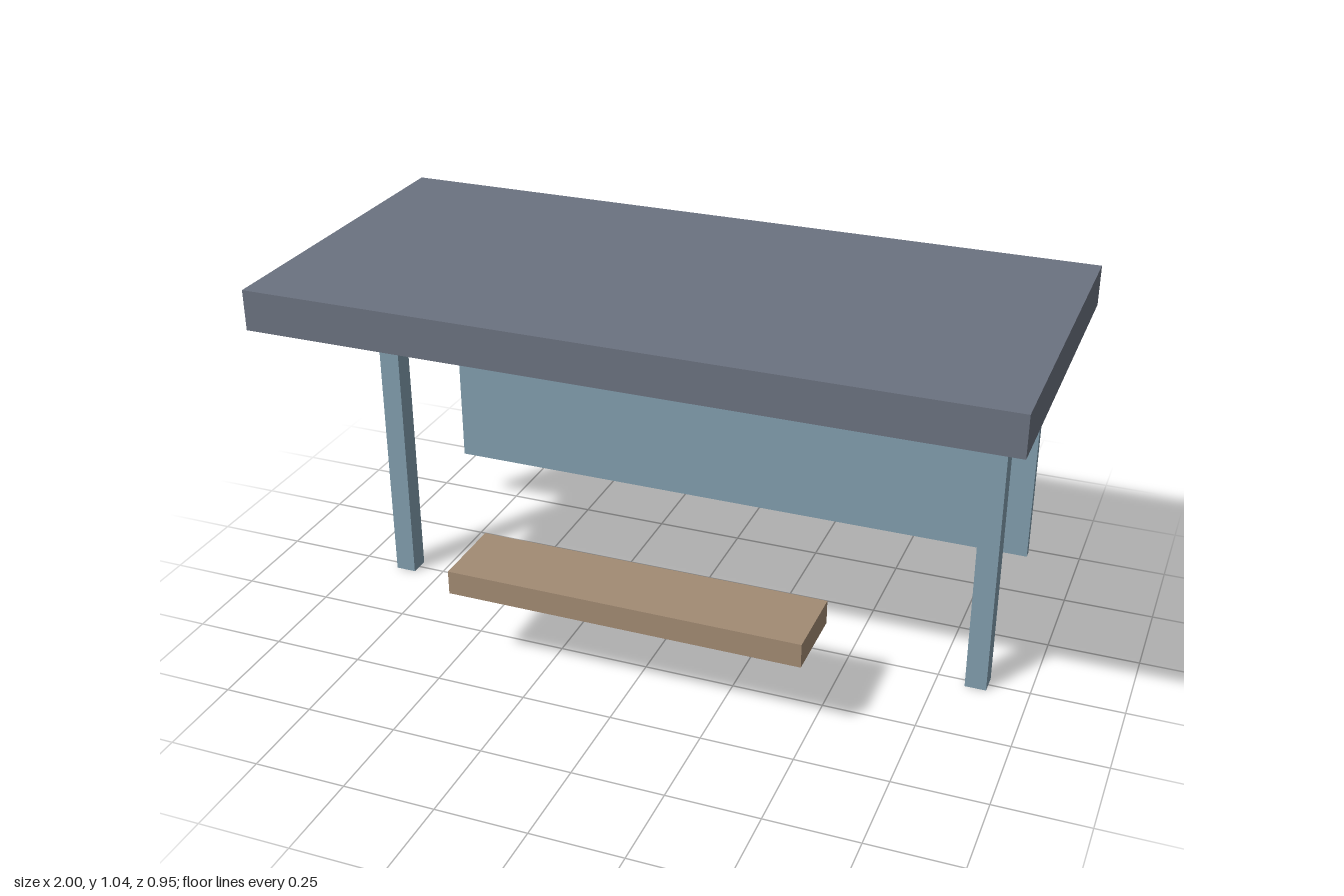
import * as THREE from 'three';

export function createModel() {
  const model = new THREE.Group();
  model.name = 'shelter';

  const material = (name, color) => {
    const m = new THREE.MeshStandardMaterial({ color });
    m.name = name;
    return m;
  };
  const slate = material('slate grey', 0x6b7280);
  const blue = material('blue grey', 0x819dad);
  const wood = material('wood brown', 0xa28b73);
  const pink = material('poster pink', 0xc981a4);

  // Box given by its lower and upper corners
  const addBox = (name, mat, [x0, y0, z0], [x1, y1, z1]) => {
    const mesh = new THREE.Mesh(new THREE.BoxGeometry(x1 - x0, y1 - y0, z1 - z0), mat);
    mesh.position.set((x0 + x1) / 2, (y0 + y1) / 2, (z0 + z1) / 2);
    mesh.name = name;
    model.add(mesh);
  };

  addBox('roof', slate, [-1, 0.93, -0.475], [1, 1.04, 0.475]);
  addBox('backPanel', blue, [-0.89, 0.16, -0.455], [0.89, 0.93, -0.432]);
  addBox('poster', pink, [-0.175, 0.48, -0.432], [0.175, 0.86, -0.415]);
  addBox('bench', wood, [-0.49, 0.23, 0.21], [0.49, 0.297, 0.43]);

  // One post under each end of the roof
  for (const [name, x] of [['leftPost', 0.858], ['rightPost', -0.858]]) {
    addBox(name, blue, [x - 0.029, 0, -0.029], [x + 0.029, 0.93, 0.029]);
  }

  return model;
}
